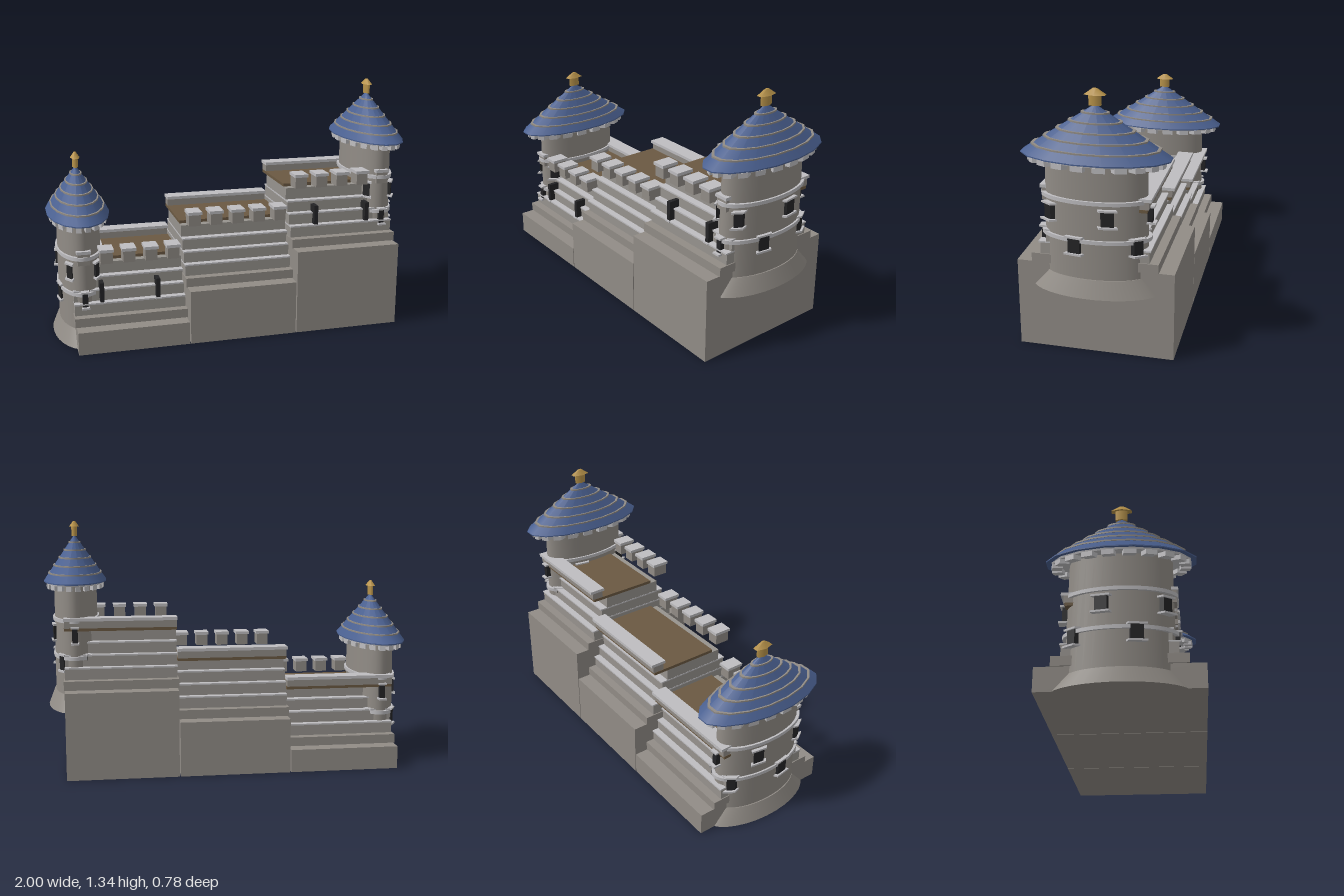
import * as THREE from 'three';

const mat = (name, color, side = THREE.FrontSide) => {
  const m = new THREE.MeshStandardMaterial({ color, side });
  m.name = name;
  return m;
};
const stone = mat('stone', 0x918c86);
const wallStone = mat('wall stone', 0x97938e);
const trim = mat('light trim', 0xbebdc0);
const roofBlue = mat('roof blue', 0x4a6090);
const wood = mat('deck brown', 0x6b5942);
const gold = mat('gold', 0xb8934a);
const dark = mat('window dark', 0x242426);

function add(parent, name, geometry, material, x = 0, y = 0, z = 0) {
  const mesh = new THREE.Mesh(geometry, material);
  mesh.name = name;
  mesh.position.set(x, y, z);
  parent.add(mesh);
  return mesh;
}

// Box given by its width, y range and z range
function slab(parent, name, material, x, width, y0, y1, z0, z1) {
  return add(parent, name, new THREE.BoxGeometry(width, y1 - y0, z1 - z0), material,
    x, (y0 + y1) / 2, (z0 + z1) / 2);
}

// Round part given by top and bottom radius and y range
function drum(parent, name, material, rTop, rBottom, y0, y1, sides = 32) {
  const g = new THREE.CylinderGeometry(rTop, rBottom, y1 - y0, sides, 1, false, Math.PI / sides);
  return add(parent, name, g, material, 0, (y0 + y1) / 2, 0);
}

// One terrace: foundation, battered wall, deck and battlements
function createTerrace(x, rise, hasWindows) {
  const g = new THREE.Group();
  g.name = 'terrace';
  g.position.x = x;
  slab(g, 'foundation', stone, 0, 0.588, 0, rise + 0.122, -0.392, 0.392);
  slab(g, 'plinth', stone, 0, 0.602, rise + 0.122, rise + 0.17, -0.315, 0.315);

  // Courses step back towards the top
  const depths = [0.27, 0.24, 0.21, 0.175];
  depths.forEach((d, i) => {
    const y0 = rise + 0.17 + i * 0.064;
    slab(g, 'wallCourse', wallStone, 0, 0.592, y0, y0 + 0.064, -d, d);
    if (i < 3) slab(g, 'courseLedge', trim, 0, 0.594, y0 + 0.057, y0 + 0.065, -d - 0.006, d + 0.006);
  });

  const deckY = rise + 0.426;
  slab(g, 'deck', wood, 0, 0.592, deckY, deckY + 0.016, -0.258, 0.13);
  slab(g, 'backParapet', stone, 0, 0.588, deckY + 0.016, deckY + 0.054, -0.265, -0.2);
  slab(g, 'parapetCap', trim, 0, 0.594, deckY + 0.054, deckY + 0.07, -0.278, -0.19);

  for (let i = -2; i <= 2; i++) {
    slab(g, 'merlon', stone, i * 0.119, 0.064, deckY + 0.016, deckY + 0.078, 0.178, 0.262);
    slab(g, 'merlonCap', trim, i * 0.119, 0.076, deckY + 0.078, deckY + 0.094, 0.17, 0.27);
  }

  // Arrow slits with sills
  if (hasWindows) for (const s of [-1, 1]) {
    slab(g, 'arrowSlit', dark, s * 0.15, 0.022, rise + 0.235, rise + 0.34, 0.17, 0.272);
    slab(g, 'slitSill', trim, s * 0.15, 0.034, rise + 0.227, rise + 0.235, 0.17, 0.28);
  }
  return g;
}

// Ring of five framed windows around a tower
function addWindows(tower, y0, y1, startDegrees) {
  for (let i = 0; i < 5; i++) {
    const w = new THREE.Group();
    w.name = 'towerWindow';
    w.rotation.y = Math.PI / 2 - THREE.MathUtils.degToRad(startDegrees + i * 72);
    slab(w, 'opening', dark, 0, 0.062, y0, y1, 0.225, 0.275);
    slab(w, 'sill', trim, 0, 0.092, y0 - 0.01, y0, 0.225, 0.292);
    slab(w, 'lintel', trim, 0, 0.092, y1, y1 + 0.01, 0.225, 0.285);
    tower.add(w);
  }
}

// Oval tower, built round and narrowed in x
function createTower(x, y) {
  const t = new THREE.Group();
  t.name = 'tower';
  t.position.set(x, y, 0);
  t.scale.x = 0.458;

  drum(t, 'flaredBase', stone, 0.257, 0.326, 0, 0.086).scale.x = 1.05;
  drum(t, 'shaft', stone, 0.248, 0.257, 0.086, 0.67);
  drum(t, 'lowerRing', trim, 0.272, 0.272, 0.272, 0.291);
  drum(t, 'upperRing', trim, 0.272, 0.272, 0.468, 0.487);
  addWindows(t, 0.217, 0.292, 18);
  addWindows(t, 0.366, 0.44, -18);

  // Blocks under the eaves
  for (let i = 0; i < 20; i++) {
    const a = (i + 0.5) * Math.PI / 10;
    const d = add(t, 'eaveBlock', new THREE.BoxGeometry(0.06, 0.026, 0.05), trim,
      Math.sin(a) * 0.31, 0.653, Math.cos(a) * 0.31);
    d.rotation.y = a;
  }
  drum(t, 'eaveDisc', trim, 0.342, 0.335, 0.664, 0.678, 16);

  // Roof with thin stone bands
  const eave = 0.367, roofY = 0.68, roofH = 0.242;
  drum(t, 'roofLip', roofBlue, eave, eave, roofY - 0.006, roofY, 16);
  drum(t, 'roof', roofBlue, 0.002, eave, roofY, roofY + roofH, 16);
  for (let i = 1; i <= 5; i++) {
    const h = i * 0.0405;
    const r = eave * (1 - h / roofH) + 0.01;
    drum(t, 'roofBand', stone, r, r, roofY + h - 0.004, roofY + h + 0.004, 16);
  }

  // Finial
  drum(t, 'finialStem', gold, 0.034, 0.034, 0.915, 0.966, 6);
  drum(t, 'finialCap', gold, 0.012, 0.058, 0.966, 0.996, 6);
  return t;
}

export function createModel() {
  const model = new THREE.Group();
  model.name = 'steppedCastle';
  model.add(createTerrace(-0.594, 0, true));
  model.add(createTerrace(0, 0.17, false));
  model.add(createTerrace(0.594, 0.34, true));
  model.add(createTower(-0.833, 0));
  model.add(createTower(0.833, 0.34));
  return model;
}
